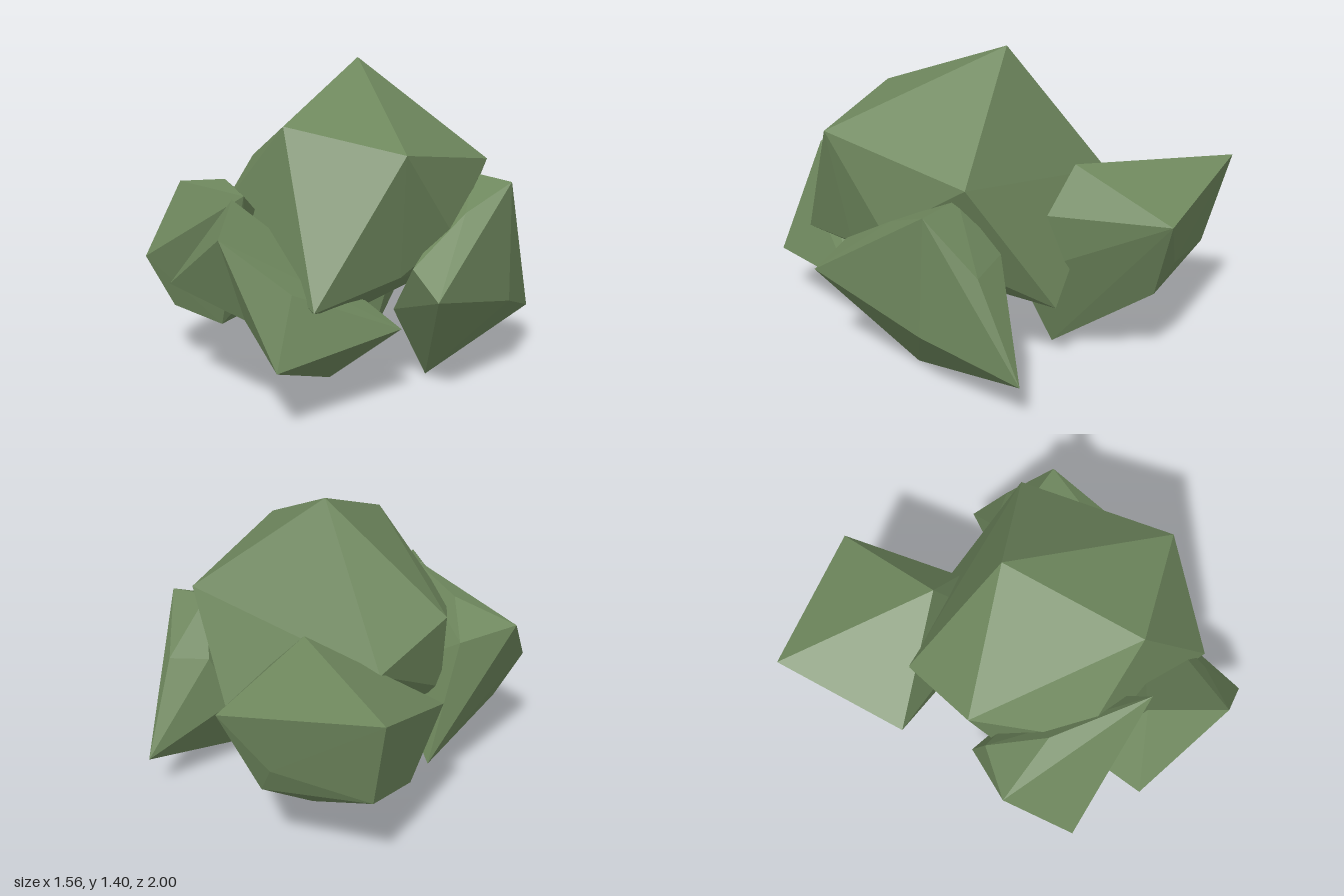
import * as THREE from 'three';
import { ConvexGeometry } from 'three/addons/geometries/ConvexGeometry.js';

const leafGreen = new THREE.MeshStandardMaterial({ color: 0x6e875d, flatShading: true });
leafGreen.name = 'leafGreen';

// Each lump of foliage is a faceted hull around a few irregular corners.
const lumps = {
  crownLump: [
    [0.02, 1.4, -0.14], [0.01, 1.15, 0.51], [0.56, 1.06, 0.46], [0.61, 0.95, -0.29],
    [-0.53, 0.91, -0.09], [-0.36, 0.77, -0.46], [0.31, 0.45, 0.78], [-0.38, 0.75, 0.4],
    [0.62, 0.68, 0.12], [0.29, 0.35, -0.55], [0.25, 0.34, 0.3], [-0.2, 0.34, 0.2], [-0.1, 0.32, -0.3],
    [-0.48, 0.5, 0.02], [0.5, 0.53, 0.38],
  ],
  // The front lump has a notch underneath, so it is made of two hulls.
  frontLumpUpper: [
    [-0.02, 0.75, 0.96], [-0.45, 0.46, 0.71], [0.06, 0.42, 0.9], [0.22, 0.52, 0.8],
    [-0.18, 0.84, 0.62], [-0.38, 0.5, 0.42], [-0.25, 0.38, 0.35], [-0.02, 0.3, 0.35], [0.51, 0.31, 0.39],
  ],
  frontLumpLower: [
    [-0.02, 0.75, 0.96], [0.06, 0.42, 0.9], [0.27, 0.26, 1], [0.22, 0.52, 0.8],
    [0.51, 0.31, 0.39], [0.18, 0.05, 0.42], [-0.02, 0.3, 0.35], [0, 0.62, 0.4],
  ],
  backLump: [
    [0.13, 0.77, -1], [-0.58, 0.87, -0.99], [-0.02, 0.9, -0.47], [-0.62, 0.66, -0.39],
    [0.16, 0.71, -0.43], [-0.01, 0, -0.38], [-0.07, 0.52, -0.94], [0, 0.38, -0.88],
    [-0.5, 0.45, -0.9], [-0.53, 0.33, -0.53], [0.14, 0.38, -0.28],
  ],
  leftLump: [
    [0.77, 0.87, -0.19], [0.7, 0.46, 0.44], [0.47, 0, 0.05], [0.71, 0.19, -0.61],
    [0.78, 0.33, -0.17], [0.65, 0.76, 0.05], [0.69, 0.62, -0.4], [0.55, 0.57, 0.37],
    [0.38, 0.33, 0.2], [0.4, 0.42, -0.33], [0.57, 0.89, -0.23], [0.49, 0.65, -0.39],
  ],
  rightLump: [
    [-0.78, 0.8, 0.17], [-0.75, 0.5, 0.49], [-0.12, 0.86, 0.62], [-0.63, 0.27, 0.44],
    [-0.48, 0.17, -0.13], [-0.36, 0.22, 0.45], [-0.46, 0.85, 0.26], [-0.27, 0.33, 0.42],
    [-0.2, 0.5, 0.1], [-0.57, 0.75, 0],
  ],
};

export function createModel() {
  const bush = new THREE.Group();
  bush.name = 'bush';
  for (const [name, corners] of Object.entries(lumps)) {
    const points = corners.map((c) => new THREE.Vector3(...c));
    const lump = new THREE.Mesh(new ConvexGeometry(points), leafGreen);
    lump.name = name;
    bush.add(lump);
  }
  return bush;
}
